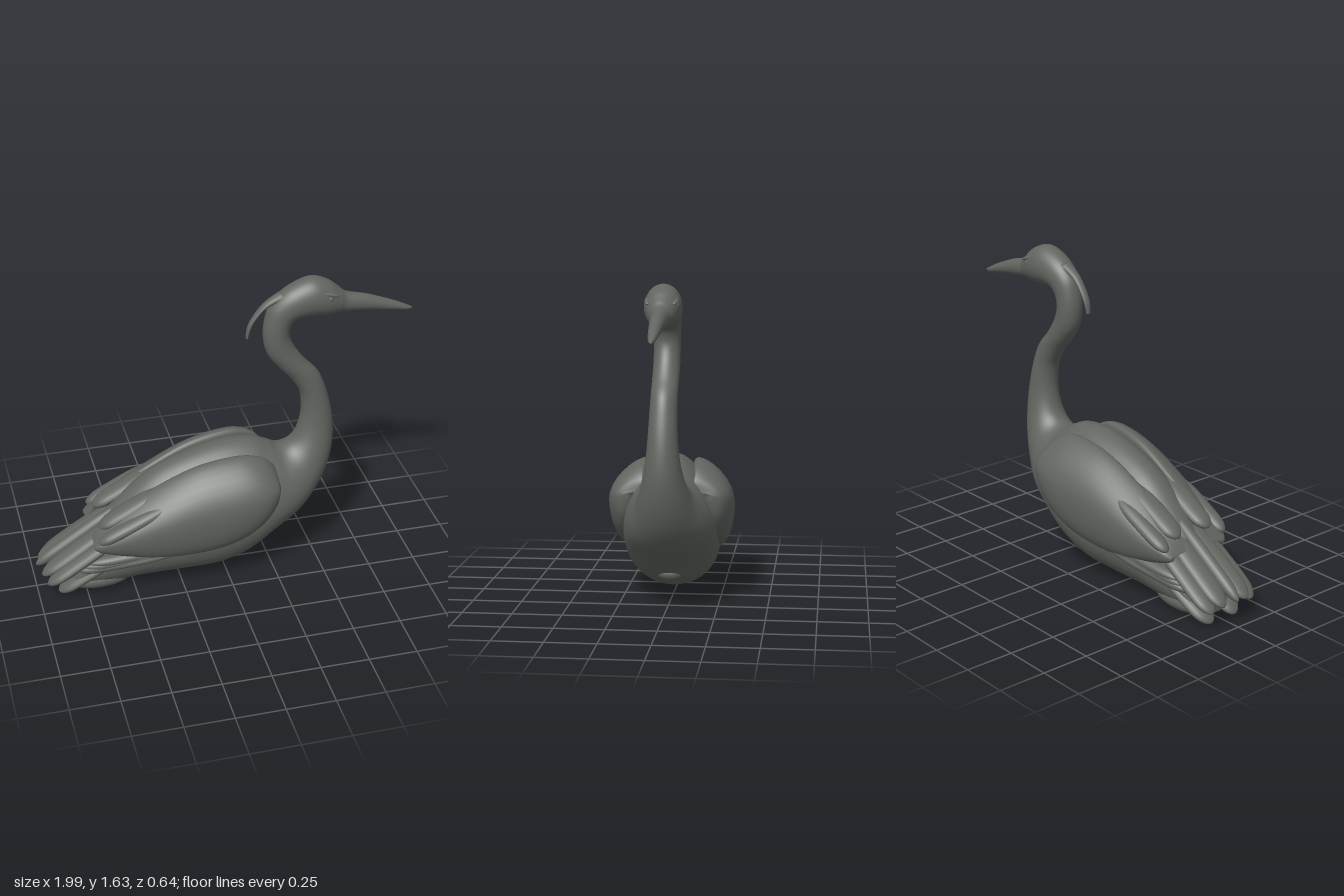
import * as THREE from 'three';

const plumage = new THREE.MeshStandardMaterial({ color: 0x626660 });
plumage.name = 'slate grey';

// Smooth interpolation through the rows of a station table
function sample(rows, t) {
  const i = Math.min(Math.floor(t), rows.length - 2), f = t - i;
  const at = (n) => rows[Math.max(0, Math.min(rows.length - 1, n))];
  const [a, b, c, d] = [at(i - 1), at(i), at(i + 1), at(i + 2)];
  return b.map((_, k) => b[k] + 0.5 * f * (c[k] - a[k]
    + f * (2 * a[k] - 5 * b[k] + 4 * c[k] - d[k] + f * (3 * (b[k] - c[k]) + d[k] - a[k]))));
}

// Loft of rounded sections. Station: [topX, topY, bottomX, bottomY, halfWidth, centreZ, egg]
// egg narrows the upper half; lean pulls the upper edge inward; side -1 mirrors in z.
function loft(name, rows, { side = 1, lean = 0, sub = 6, seg = 32 } = {}) {
  const pos = [], idx = [], rings = (rows.length - 1) * sub + 1;
  for (let r = 0; r < rings; r++) {
    const [tx, ty, bx, by, w, zc, egg] = sample(rows, r / sub);
    for (let j = 0; j < seg; j++) {
      const a = (j / seg) * Math.PI * 2, s = Math.sin(a), up = Math.max(s, 0);
      const z = zc + Math.max(w, 0.002) * Math.cos(a) * (1 - egg * s) - lean * up * up;
      pos.push((tx + bx) / 2 + s * (tx - bx) / 2, (ty + by) / 2 + s * (ty - by) / 2, z * side);
    }
  }
  const tri = (a, b, c) => (side > 0 ? idx.push(a, b, c) : idx.push(a, c, b));
  for (let r = 0; r < rings - 1; r++) {
    for (let j = 0; j < seg; j++) {
      const k = (j + 1) % seg, a = r * seg + j, d = r * seg + k;
      tri(a, a + seg, d + seg);
      tri(a, d + seg, d);
    }
  }
  // End caps
  const last = (rings - 1) * seg;
  for (let j = 1; j < seg - 1; j++) {
    tri(0, j, j + 1);
    tri(last, last + j + 1, last + j);
  }
  const g = new THREE.BufferGeometry();
  g.setAttribute('position', new THREE.Float32BufferAttribute(pos, 3));
  g.setIndex(idx);
  g.computeVertexNormals();
  const mesh = new THREE.Mesh(g, plumage);
  mesh.name = name;
  return mesh;
}

// Flattened feather running from its tip forward to its root
function feather(name, tip, root, halfWidth, thick, side = 1) {
  const rows = [[0, 0.15], [0.04, 0.55], [0.14, 0.9], [0.35, 1], [0.7, 0.95], [1, 0.4]].map(([f, s]) => {
    const [x, y, z] = tip.map((v, i) => v + (root[i] - v) * f);
    return [x - thick * s * 0.4, y + thick * s, x + thick * s * 0.4, y - thick * s, halfWidth * s, z, 0];
  });
  return loft(name, rows, { side, sub: 4, seg: 20 });
}

function ball(name, p, scale, tilt = 0) {
  const m = new THREE.Mesh(new THREE.SphereGeometry(1, 20, 14), plumage);
  m.name = name;
  m.position.set(...p);
  m.scale.set(...scale);
  m.rotation.z = tilt;
  return m;
}

export function createModel() {
  const bird = new THREE.Group();
  bird.name = 'wadingBird';

  // Rump, belly, breast, curved neck, head and bill in one sweep
  const spine = [
    [-0.85, 0.11, -0.85, 0.04, 0.06],
    [-0.78, 0.25, -0.8, 0.025, 0.13],
    [-0.6, 0.43, -0.6, 0.025, 0.17],
    [-0.4, 0.61, -0.42, 0.035, 0.2],
    [-0.2, 0.705, -0.22, 0.04, 0.225],
    [0, 0.755, -0.05, 0.05, 0.24],
    [0.15, 0.755, 0.1, 0.1, 0.235],
    [0.24, 0.72, 0.25, 0.21, 0.22],
    [0.3, 0.69, 0.4, 0.31, 0.185],
    [0.35, 0.7, 0.5, 0.42, 0.145],
    [0.39, 0.74, 0.565, 0.55, 0.115],
    [0.415, 0.81, 0.595, 0.69, 0.09],
    [0.425, 0.9, 0.59, 0.83, 0.076],
    [0.41, 1.0, 0.56, 0.97, 0.069],
    [0.36, 1.08, 0.51, 1.1, 0.066],
    [0.29, 1.16, 0.43, 1.19, 0.066],
    [0.235, 1.24, 0.375, 1.27, 0.066],
    [0.215, 1.33, 0.35, 1.34, 0.066],
    [0.22, 1.42, 0.36, 1.395, 0.068],
    [0.25, 1.51, 0.39, 1.425, 0.074],
    [0.33, 1.59, 0.43, 1.43, 0.084],
    [0.45, 1.638, 0.48, 1.428, 0.09],
    [0.54, 1.615, 0.54, 1.426, 0.083],
    [0.6, 1.57, 0.59, 1.428, 0.064],
    [0.645, 1.535, 0.635, 1.43, 0.046],
    [0.75, 1.508, 0.75, 1.422, 0.036],
    [0.88, 1.46, 0.88, 1.405, 0.026],
    [0.96, 1.424, 0.96, 1.393, 0.016],
    [0.995, 1.405, 0.995, 1.396, 0.004],
  ].map((s, i) => [...s, 0, 0.22 * Math.max(0, Math.min(1, (12 - i) / 5))]);
  bird.add(loft('bodyNeckAndHead', spine, { sub: 8, seg: 48 }));

  // Folded wings, outer surface bulging and upper edge wrapping onto the back
  const wing = [
    [0.257, 0.6, 0.257, 0.55, 0.012, 0.215],
    [0.24, 0.66, 0.23, 0.46, 0.05, 0.225],
    [0.17, 0.715, 0.15, 0.36, 0.08, 0.23],
    [0.05, 0.735, 0.02, 0.28, 0.094, 0.225],
    [-0.15, 0.7, -0.15, 0.235, 0.092, 0.212],
    [-0.35, 0.61, -0.38, 0.23, 0.08, 0.198],
    [-0.55, 0.49, -0.55, 0.26, 0.06, 0.185],
    [-0.66, 0.4, -0.67, 0.29, 0.035, 0.175],
    [-0.71, 0.34, -0.71, 0.31, 0.01, 0.17],
  ].reverse().map((s) => [...s, 0]);

  for (const side of [1, -1]) {
    const label = side > 0 ? 'right' : 'left';
    const half = new THREE.Group();
    half.name = label + 'Side';
    half.add(loft(label + 'Wing', wing, { side, lean: 0.09 }));

    // Long flight feathers showing below the wing
    for (let i = 0; i < 3; i++) {
      half.add(feather('flightFeather', [-0.74 - 0.03 * i, 0.22 - 0.025 * i, 0.16 - 0.012 * i],
        [-0.08 - 0.1 * i, 0.31 - 0.025 * i, 0.22], 0.04, 0.028, side));
    }
    // Scapular tips overlapping the tail root
    half.add(feather('scapular', [-0.69, 0.36, 0.19], [-0.3, 0.55, 0.2], 0.045, 0.03, side));
    half.add(feather('scapular', [-0.67, 0.4, 0.1], [-0.3, 0.6, 0.1], 0.06, 0.03, side));
    // Tail and undertail feathers
    half.add(feather('innerTailFeather', [-0.975, 0.135, 0.075], [-0.5, 0.44, 0.06], 0.06, 0.03, side));
    half.add(feather('outerTailFeather', [-0.955, 0.11, 0.13], [-0.5, 0.4, 0.12], 0.06, 0.03, side));
    half.add(feather('undertailFeather', [-0.895, 0.02, 0.08], [-0.5, 0.28, 0.12], 0.065, 0.03, side));
    // Rounded lobe beneath the rump
    half.add(ball('rumpLobe', [-0.68, 0.075, 0.08 * side], [0.17, 0.055, 0.07]));
    // Eye with brow
    half.add(ball('eye', [0.535, 1.54, 0.073 * side], [0.018, 0.016, 0.012]));
    half.add(ball('brow', [0.54, 1.562, 0.064 * side], [0.05, 0.012, 0.018], -0.3));
    bird.add(half);
  }

  bird.add(feather('centreTailFeather', [-0.995, 0.15, 0], [-0.5, 0.47, 0], 0.035, 0.032));

  // Drooping crest plume behind the head
  bird.add(loft('crest', [
    [0.124, 1.34, 0.136, 1.335, 0.012],
    [0.133, 1.4, 0.15, 1.39, 0.018],
    [0.165, 1.46, 0.18, 1.445, 0.02],
    [0.22, 1.525, 0.235, 1.5, 0.024],
    [0.3, 1.575, 0.32, 1.535, 0.035],
  ].map((s) => [...s, 0, 0]), { seg: 16 }));

  // Small keel bump where the legs tuck in
  bird.add(ball('legTuck', [0.15, 0.15, 0], [0.045, 0.035, 0.06], 0.5));
  return bird;
}
